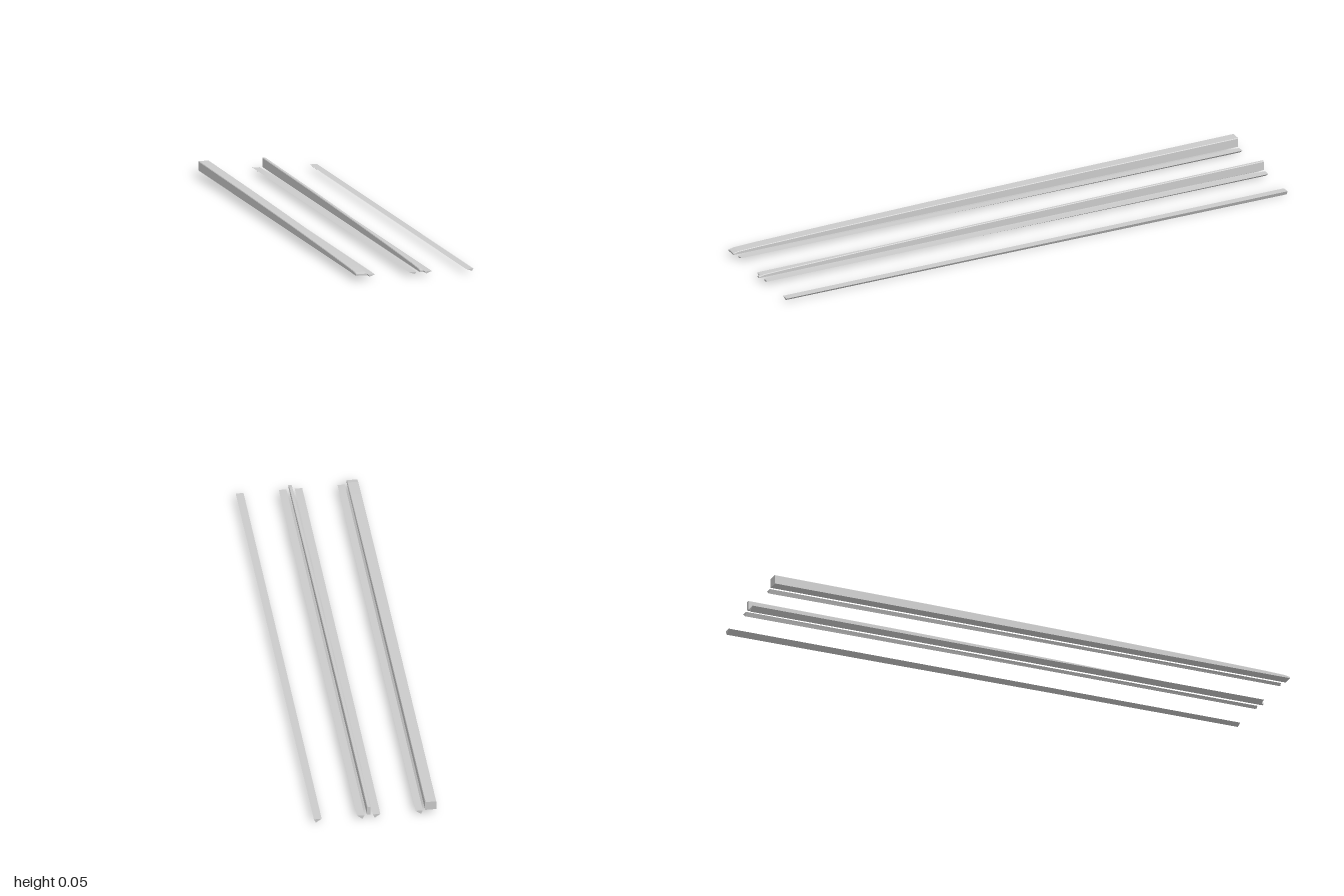
import * as THREE from 'three';

// Skin between rings [x, y, z], counter-clockwise seen from the front, listed front to back
function loft(rings) {
  const n = rings[0].length;
  const index = [];
  for (let r = 0; r < rings.length - 1; r++) {
    for (let i = 0; i < n; i++) {
      const j = (i + 1) % n;
      const a = r * n, b = a + n;
      index.push(a + i, b + i, a + j, b + i, b + j, a + j);
    }
  }
  const last = (rings.length - 1) * n;
  for (let i = 1; i < n - 1; i++) {
    index.push(0, i, i + 1, last, last + i + 1, last + i);
  }
  const geometry = new THREE.BufferGeometry();
  geometry.setAttribute('position', new THREE.Float32BufferAttribute(rings.flat(2), 3));
  geometry.setIndex(index);
  const flat = geometry.toNonIndexed();
  flat.computeVertexNormals();
  return flat;
}

export function createModel() {
  const model = new THREE.Group();
  const material = new THREE.MeshStandardMaterial({
    color: 0xcccccc, flatShading: true, side: THREE.DoubleSide,
  });
  const add = (name, rings) => {
    const mesh = new THREE.Mesh(loft(rings), material);
    mesh.name = name;
    model.add(mesh);
  };

  // Beams: flat underside, top rising in a gentle curve towards the back [z, top]
  const rise = [[1, 0.022], [0.98, 0.026], [0.9, 0.029], [0.6, 0.035], [0.2, 0.041], [-0.4, 0.047], [-1, 0.05]];
  const beam = (name, x0, x1) => add(name, rise.map(([z, top]) => {
    const c = 0.002;
    return [
      [x0, 0.016, z], [x1, 0.016, z], [x1, top - c, z],
      [x1 - c, top, z], [x0 + c, top, z], [x0, top - c, z],
    ];
  }));
  beam('wideBeam', -0.218, -0.178);
  beam('narrowBeam', 0.019, 0.031);

  // Rails: flat top with an off-centre keel that deepens towards the back
  const rail = (name, keelEdge, thinEdge) => {
    const w = thinEdge - keelEdge;
    add(name, [[0.985, 0.008], [0.2, 0.01], [-0.4, 0.013], [-1, 0.015]].map(([z, depth]) => {
      const ring = [[0, 0], [0.25, 1], [0.55, 0.6], [1, 0]]
        .map(([u, d]) => [keelEdge + u * w, 0.015 - d * depth, z]);
      return w < 0 ? ring.reverse() : ring;
    }));
  };
  rail('outerRightRail', -0.17, -0.144);
  rail('innerRightRail', 0.01, -0.017);
  rail('innerLeftRail', 0.04, 0.067);
  rail('outerLeftRail', 0.222, 0.194);

  return model;
}
